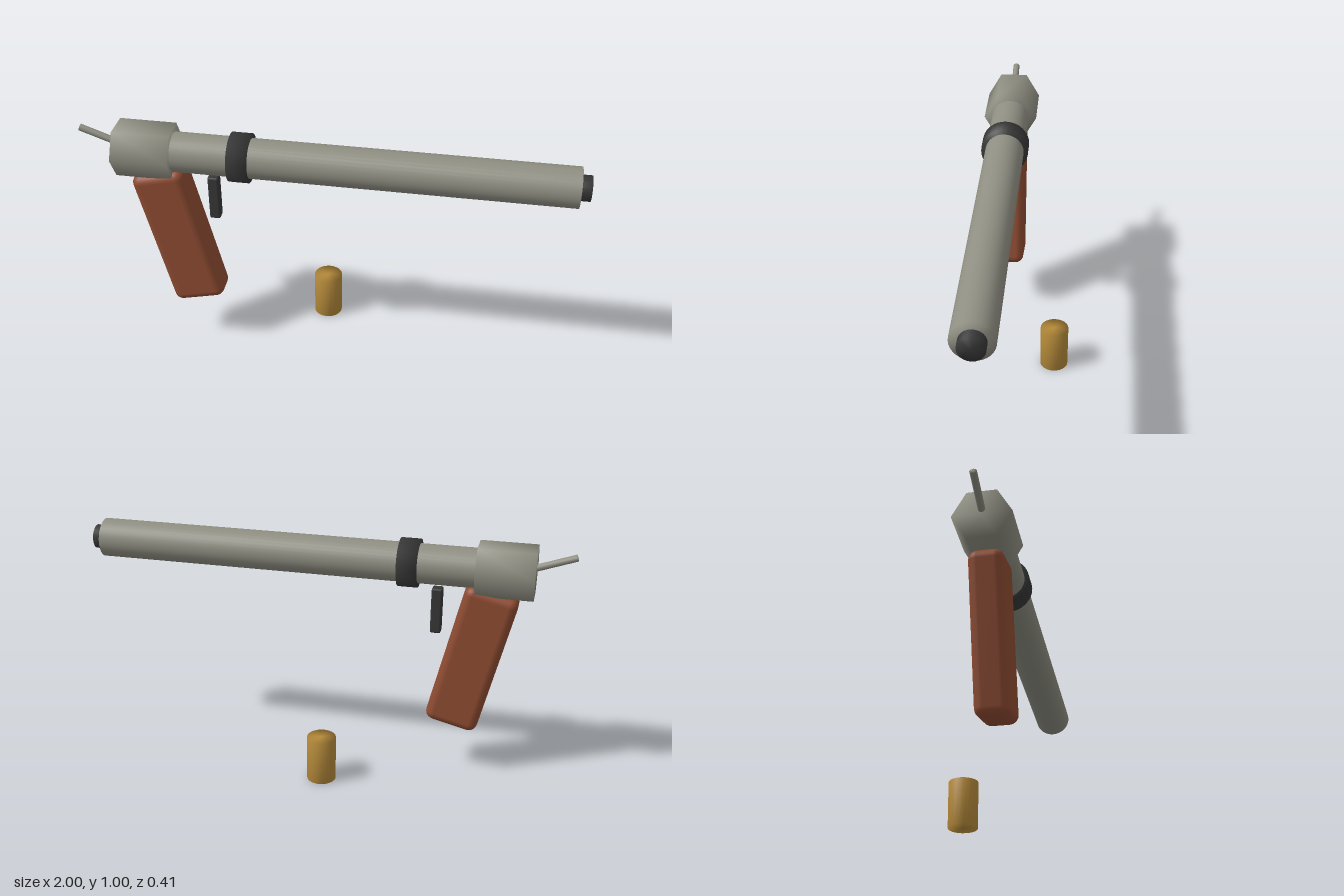
import * as THREE from 'three';
import { mergeVertices } from 'three/addons/utils/BufferGeometryUtils.js';
import { RoundedBoxGeometry } from 'three/addons/geometries/RoundedBoxGeometry.js';

const flat = (name, color) => {
  const m = new THREE.MeshStandardMaterial({ color });
  m.name = name;
  return m;
};

// Cylinder whose normals run smoothly over the rims
function softCylinder(radius, length, sides) {
  const g = new THREE.CylinderGeometry(radius, radius, length, sides);
  g.deleteAttribute('normal');
  g.deleteAttribute('uv');
  const merged = mergeVertices(g, 1e-4);
  merged.computeVertexNormals();
  return merged;
}

export function createModel() {
  const steel = flat('steel grey', 0x8e8e82);
  const dark = flat('dark metal', 0x373737);
  const wood = flat('red brown wood', 0x8f4c32);
  const brass = flat('brass', 0xb58a3a);

  const group = new THREE.Group();
  const axisY = 0.903, axisZ = 0.09;

  const add = (name, geometry, material, x, y, z) => {
    const mesh = new THREE.Mesh(geometry, material);
    mesh.name = name;
    mesh.position.set(x, y, z);
    group.add(mesh);
    return mesh;
  };

  // Parts turned around the long axis, from x0 to x1
  const along = (name, material, x0, x1, radius, sides) => {
    const g = softCylinder(radius, x1 - x0, sides);
    g.rotateZ(-Math.PI / 2);
    return add(name, g, material, (x0 + x1) / 2, axisY, axisZ);
  };
  along('barrel', steel, -0.66, 0.96, 0.08, 32);
  along('muzzle', dark, 0.9, 1.0, 0.05, 24);
  along('barrelBand', dark, -0.385, -0.305, 0.098, 32);
  along('hexBody', steel, -0.845, -0.615, 0.1135, 6);

  // Slanted rod at the back
  const tail = new THREE.Vector3(-0.995, 0.978, axisZ);
  const root = new THREE.Vector3(-0.8, 0.908, axisZ);
  const dir = root.clone().sub(tail);
  const rod = add('hammer', softCylinder(0.014, dir.length(), 12), steel, 0, 0, 0);
  rod.position.addVectors(tail, root).multiplyScalar(0.5);
  rod.quaternion.setFromUnitVectors(new THREE.Vector3(0, 1, 0), dir.normalize());

  // Tilted grip and trigger
  const grip = add('grip', new RoundedBoxGeometry(0.22, 0.62, 0.135, 3, 0.036), wood, -0.615, 0.518, axisZ);
  grip.rotation.z = 0.237;
  add('trigger', new RoundedBoxGeometry(0.044, 0.192, 0.046, 2, 0.008), dark, -0.462, 0.711, axisZ);

  // Loose cartridge on the ground
  add('cartridge', softCylinder(0.06, 0.193, 24), brass, -0.04, 0.0965, -0.143);

  return group;
}
